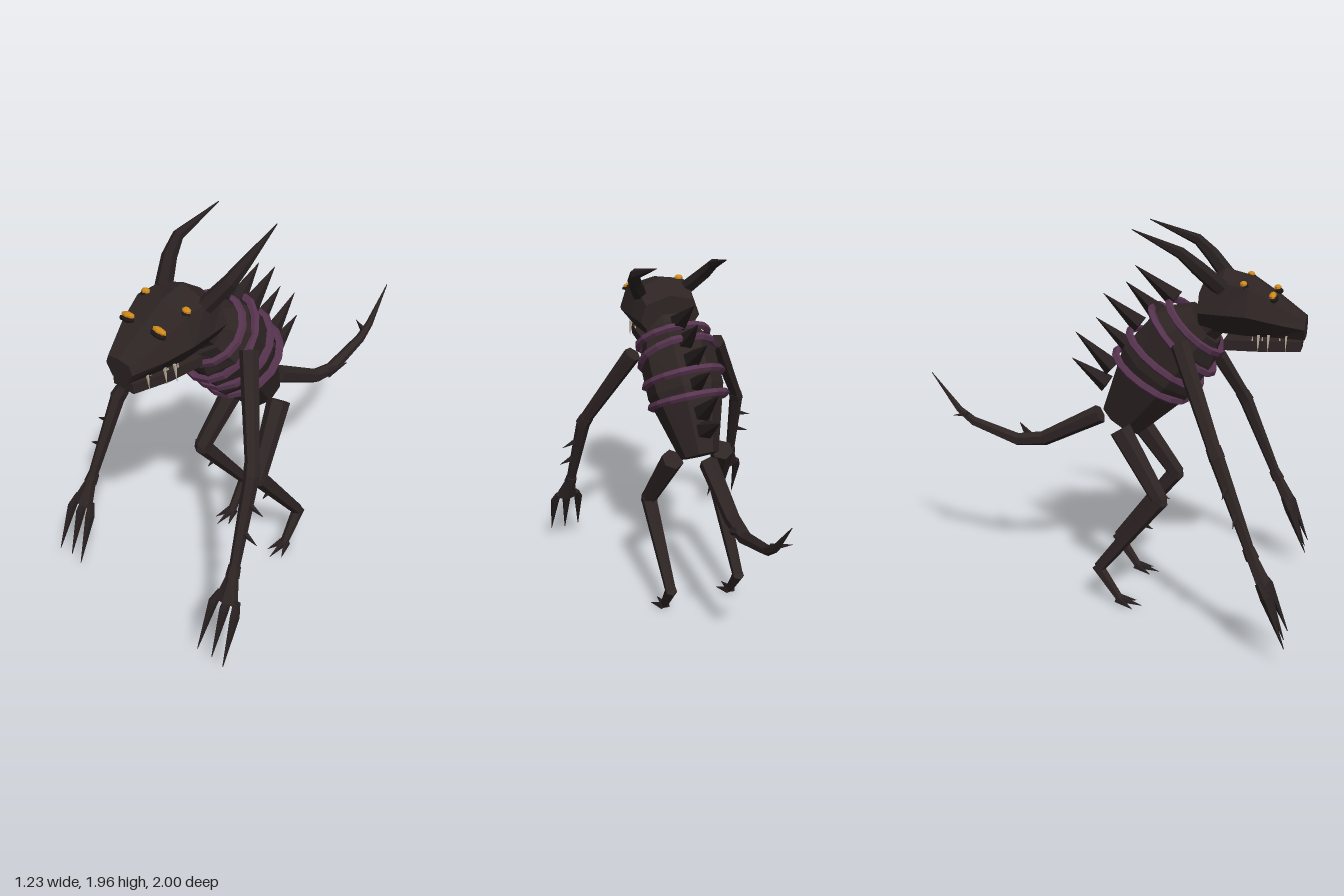
import * as THREE from 'three';

const mat = (name, color) => {
  const m = new THREE.MeshStandardMaterial({ color });
  m.name = name;
  return m;
};

// Skin over a list of rings (points run counter-clockwise about the direction of travel), faceted
function loft(rings) {
  const n = rings[0].length, idx = [], pos = rings.flat().flatMap((p) => [p.x, p.y, p.z]);
  for (let r = 0; r < rings.length - 1; r++) {
    for (let i = 0; i < n; i++) {
      const a = r * n + i, b = r * n + (i + 1) % n;
      idx.push(a, b, a + n, b, b + n, a + n);
    }
  }
  const last = (rings.length - 1) * n;
  for (let i = 1; i < n - 1; i++) idx.push(0, i + 1, i, last, last + i, last + i + 1);
  const g = new THREE.BufferGeometry();
  g.setAttribute('position', new THREE.Float32BufferAttribute(pos, 3));
  g.setIndex(idx);
  return facet(g);
}

function facet(g) {
  const f = g.index ? g.toNonIndexed() : g;
  f.computeVertexNormals();
  return f;
}

// Limb through points [x, y, z, radius across, radius deep]
function limb(pts, sides = 6) {
  const P = pts.map((p) => new THREE.Vector3(p[0], p[1], p[2]));
  const rings = P.map((c, i) => {
    const t = P[Math.min(i + 1, P.length - 1)].clone().sub(P[Math.max(i - 1, 0)]).normalize();
    const ref = Math.abs(t.x) > 0.8 ? new THREE.Vector3(0, 1, 0) : new THREE.Vector3(1, 0, 0);
    const u = ref.addScaledVector(t, -ref.dot(t)).normalize();
    const v = t.clone().cross(u);
    const [ru, rv = ru] = pts[i].slice(3);
    return Array.from({ length: sides }, (_, k) => {
      const a = ((k + 0.5) / sides) * Math.PI * 2;
      return c.clone().addScaledVector(u, Math.cos(a) * ru).addScaledVector(v, Math.sin(a) * rv);
    });
  });
  return loft(rings);
}

export function createModel() {
  const root = new THREE.Group();
  root.name = 'hornedBeast';
  const hide = mat('darkHide', 0x2e2424);
  const horn = mat('hornAndClaw', 0x282020);
  const purple = mat('purpleRib', 0x57344f);
  const amber = mat('amberEye', 0xd08a1a);
  const bone = mat('toothBone', 0xb5ad98);
  const lid = mat('eyelid', 0x1c1616);

  const add = (name, geo, material, parent = root) => {
    const m = new THREE.Mesh(geo, material);
    m.name = name;
    parent.add(m);
    return m;
  };
  const spike = (name, a, b, r, material = horn, sides = 4, parent = root) =>
    add(name, limb([[...a, r], [...b, 0.001]], sides), material, parent);

  // Torso and neck
  add('torso', limb([
    [0, 0.96, 0.06, 0.1, 0.12], [0, 1.25, 0.25, 0.2, 0.22],
    [0, 1.42, 0.38, 0.2, 0.205], [0, 1.5, 0.48, 0.15, 0.12],
  ], 8), hide);
  add('neck', limb([[0, 1.45, 0.42, 0.13, 0.11], [0, 1.57, 0.56, 0.12, 0.09]], 8), hide);

  // Rib bands: [back y, back z, front y, front z, half width]
  [[1.6, 0.3, 1.36, 0.56, 0.19], [1.57, 0.21, 1.25, 0.52, 0.2],
    [1.44, 0.1, 1.18, 0.46, 0.205], [1.33, 0.03, 1.1, 0.39, 0.2]].forEach(([by, bz, fy, fz, w]) => {
    const pts = Array.from({ length: 12 }, (_, i) => {
      const a = (i / 12) * Math.PI * 2, c = Math.cos(a) / 2;
      return new THREE.Vector3(Math.sin(a) * w, (by + fy) / 2 + (by - fy) * c, (bz + fz) / 2 + (bz - fz) * c);
    });
    const ring = new THREE.CatmullRomCurve3(pts, true);
    add('ribBand', facet(new THREE.TubeGeometry(ring, 16, 0.02, 5, true)), purple);
  });

  // Back spikes: [base y, base z, tip y, tip z]
  [[1.61, 0.33, 1.765, 0.12], [1.54, 0.24, 1.68, 0.075], [1.47, 0.15, 1.615, -0.04],
    [1.34, 0.12, 1.49, -0.08], [1.235, 0.01, 1.41, -0.19], [1.15, -0.02, 1.27, -0.21]]
    .forEach(([y, z, ty, tz]) => spike('backSpike', [0, y, z], [0, ty, tz], 0.052, horn, 5));

  // Head: [z, half width, top, shoulder of the skull, widest height, bottom]
  const skull = [
    [0.466, 0.165, 1.705, 1.67, 1.58, 1.49], [0.57, 0.18, 1.775, 1.725, 1.58, 1.48],
    [0.7, 0.195, 1.74, 1.71, 1.58, 1.475], [0.82, 0.16, 1.66, 1.64, 1.55, 1.47],
    [0.965, 0.085, 1.56, 1.55, 1.51, 1.455],
  ].map(([z, w, top, sh, mid, bot]) => [
    [w, mid], [w * 0.8, sh], [0, top], [-w * 0.8, sh], [-w, mid], [-w * 0.6, bot], [w * 0.6, bot],
  ].map(([x, y]) => new THREE.Vector3(x, y, z)));
  add('head', loft(skull), hide);

  const jaw = [[0.59, 0.125], [0.78, 0.11], [0.95, 0.065]].map(([z, w]) =>
    [[w, 1.4], [w, 1.45], [-w, 1.45], [-w, 1.4]].map(([x, y]) => new THREE.Vector3(x, y, z)));
  add('lowerJaw', loft(jaw), hide);

  // Tail with two thorns
  add('tail', limb([
    [0, 0.98, -0.06, 0.05], [0, 0.815, -0.37, 0.04], [0, 0.795, -0.52, 0.035],
    [0, 0.875, -0.77, 0.026], [0, 0.935, -0.85, 0.02], [0, 1.13, -1, 0.002],
  ], 6), hide);
  spike('tailThorn', [0.02, 0.8, -0.45], [0.09, 0.86, -0.54], 0.028);
  spike('tailThorn', [0, 0.91, -0.8], [-0.09, 0.93, -0.845], 0.018);

  // Paired parts
  for (const s of [1, -1]) {
    const side = new THREE.Group();
    side.name = s > 0 ? 'leftSide' : 'rightSide';
    root.add(side);
    const m = (pts) => pts.map(([x, ...rest]) => [x * s, ...rest]);
    const part = (name, pts, material = hide, sides = 6) => add(name, limb(m(pts), sides), material, side);
    const thorn = (name, a, b, r, material = horn) => spike(name, ...m([a, b]), r, material, 4, side);

    part('horn', [[0.13, 1.7, 0.57, 0.042], [0.19, 1.8, 0.47, 0.037],
      [0.21, 1.87, 0.39, 0.028], [0.182, 1.965, 0.15, 0.002]], horn);

    // Eyes with dark lids
    [[0.1, 1.672, 0.81, 0.042], [0.13, 1.725, 0.675, 0.024]].forEach(([x, y, z, w]) => {
      const ball = (name, dy, dz, k, material) => {
        const b = add(name, facet(new THREE.SphereGeometry(1, 8, 5)), material, side);
        b.position.set(x * s, y + dy, z + dz);
        b.scale.set(w * k, 0.015, 0.018 * k);
        b.rotation.z = s * -0.1;
      };
      ball('eye', 0, 0, 1, amber);
      ball('eyelid', -0.016, 0.008, 1.15, lid);
    });

    // Teeth
    [[0.08, 0.88], [0.105, 0.8], [0.122, 0.755]].forEach(([x, z]) => {
      thorn('upperTooth', [x, 1.485, z], [x + 0.01, 1.4, z], 0.009, bone);
      thorn('lowerTooth', [x - 0.015, 1.43, z - 0.03], [x - 0.01, 1.49, z - 0.03], 0.007, bone);
    });

    // Arm
    part('upperArm', [[0.235, 1.44, 0.4, 0.046], [0.455, 1, 0.62, 0.034]]);
    part('elbow', [[0.445, 1.02, 0.61, 0.038], [0.465, 0.97, 0.635, 0.04]]);
    part('forearm', [[0.46, 0.99, 0.625, 0.038], [0.51, 0.53, 0.815, 0.025]]);
    part('wrist', [[0.505, 0.56, 0.8, 0.03], [0.512, 0.51, 0.825, 0.034]]);
    part('palm', [[0.51, 0.53, 0.815, 0.026], [0.523, 0.4, 0.88, 0.065, 0.035]]);
    [[0.47, 0.45, 0.437], [0.523, 0.523, 0.523], [0.575, 0.592, 0.605]].forEach(([a, b, c], i) =>
      part('claw', [[a, 0.42, 0.865, 0.018], [b, 0.36, 0.9, 0.025], [c, 0.115, i === 1 ? 0.99 : 1, 0.002]], horn, 5));
    thorn('forearmThorn', [0.485, 0.85, 0.685], [0.575, 0.82, 0.68], 0.018);
    thorn('forearmThorn', [0.5, 0.72, 0.735], [0.585, 0.688, 0.735], 0.018);

    // Leg
    part('thigh', [[0.14, 0.955, 0.085, 0.06], [0.2, 0.615, 0.31, 0.044]]);
    part('knee', [[0.198, 0.64, 0.298, 0.045], [0.203, 0.59, 0.305, 0.044]]);
    part('shin', [[0.203, 0.62, 0.31, 0.044], [0.2, 0.2, -0.01, 0.03]]);
    thorn('shinThorn', [0.2, 0.48, 0.215], [0.2, 0.455, 0.275], 0.018);
    part('foot', [[0.2, 0.21, -0.02, 0.033], [0.2, 0.035, 0.1, 0.022]]);
    [-0.05, 0, 0.05].forEach((dx) =>
      thorn('toe', [0.2 + dx * 0.2, 0.035, 0.09], [0.2 + dx, 0.008, dx ? 0.18 : 0.22], 0.022));
  }
  return root;
}
